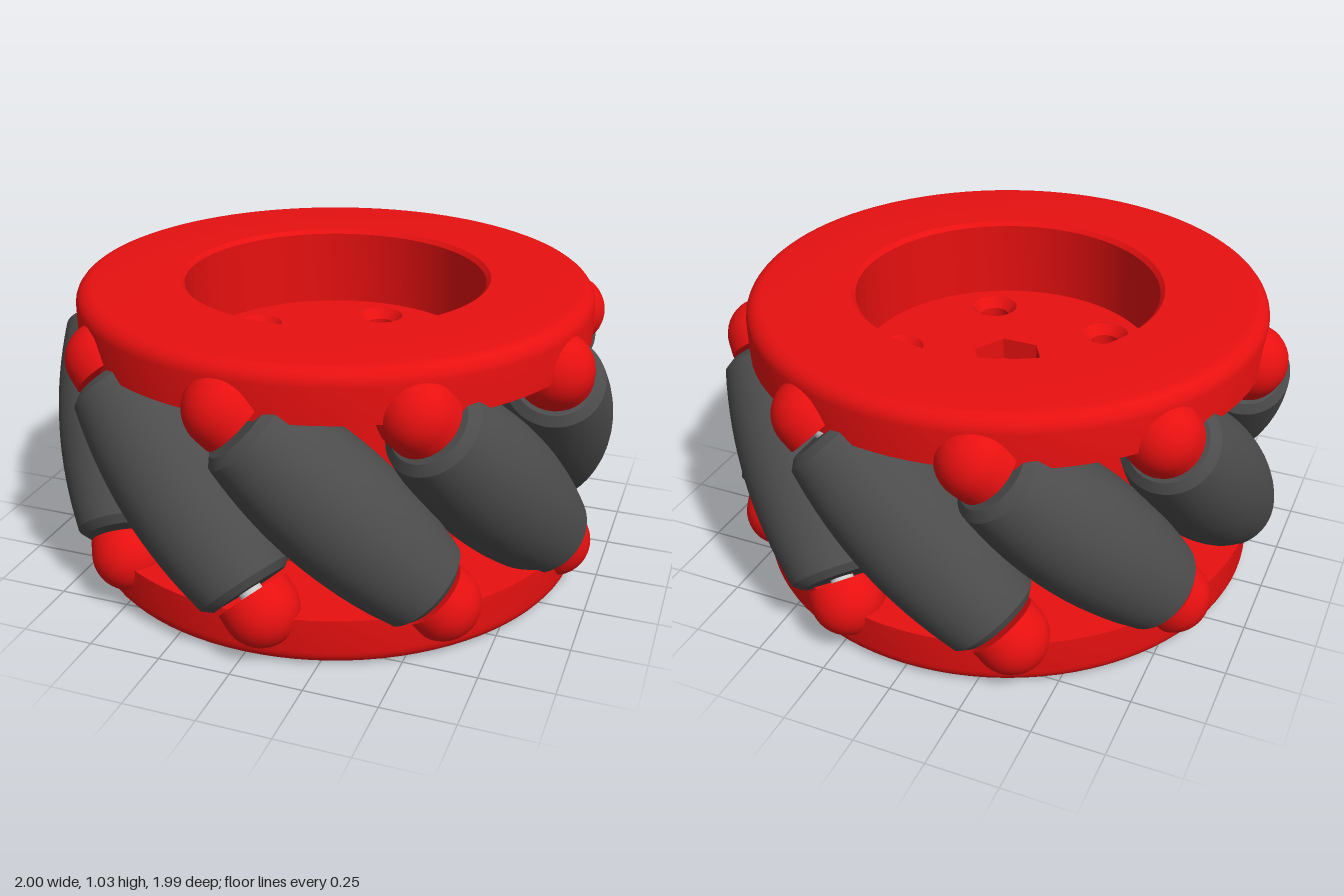
import * as THREE from 'three';
import { toCreasedNormals } from 'three/addons/utils/BufferGeometryUtils.js';

const RED = new THREE.MeshStandardMaterial({ color: 0xe81010 });
const RUBBER = new THREE.MeshStandardMaterial({ color: 0x4c4c4c });
const STEEL = new THREE.MeshStandardMaterial({ color: 0xcccccc });

const H = 1.03, MID = H / 2;          // wheel height and mid plane
const FLOOR = 0.74, POCKET = 0.66;    // upper recess floor, hex pocket floor
const ROLLERS = 9, AXLE_R = 0.785;    // roller count and distance of their axes from the centre

const lathe = (pts, segments = 48) => toCreasedNormals(
  new THREE.LatheGeometry(pts.map(([r, y]) => new THREE.Vector2(r, y)), segments), 0.5);

// Points on a circular arc in the profile plane, angles in degrees
function arc(r, y, radius, from, to, n = 6) {
  return Array.from({ length: n + 1 }, (_, i) => {
    const a = THREE.MathUtils.degToRad(from + (to - from) * i / n);
    return [Math.max(0, r + radius * Math.cos(a)), y + radius * Math.sin(a)];
  });
}

function add(parent, name, geometry, material) {
  const mesh = new THREE.Mesh(geometry, material);
  mesh.name = name;
  parent.add(mesh);
  return mesh;
}

function circlePath(x, y, r) {
  return new THREE.Path().absarc(x, y, r, 0, Math.PI * 2, true);
}

function hexPoints(r) {
  return Array.from({ length: 6 }, (_, i) =>
    new THREE.Vector2(r * Math.cos(i * Math.PI / 3), r * Math.sin(i * Math.PI / 3)));
}

// Both rims, the hub barrel, the lower recess and the bore in one profile
function buildBody(wheel) {
  const f = 0.055;
  add(wheel, 'rimsAndHub', lathe([
    [0.053, POCKET], [0.053, 0.14], [0.078, 0.11], [0.53, 0.11], [0.53, 0.015], [0.545, 0],
    ...arc(0.905 - f, f, f, -90, 0),
    [0.905, 0.175], [0.56, 0.175], [0.56, 0.855], [0.905, 0.855],
    ...arc(0.905 - f, H - f, f, 0, 90),
    [0.545, H], [0.53, H - 0.015], [0.53, FLOOR],
  ], 96), RED);
}

// Upper recess floor with five countersunk holes and a hexagonal pocket
function buildHubFace(wheel) {
  const face = new THREE.Shape().absarc(0, 0, 0.531, 0, Math.PI * 2, false);
  face.holes.push(new THREE.Path(hexPoints(0.13)));
  const hole = lathe([[0.085, 0], [0.052, -0.035], [0.052, -0.09], [0, -0.11]], 32);
  for (let i = 0; i < 5; i++) {
    const a = THREE.MathUtils.degToRad(5.7 + 72 * i);
    const x = 0.4 * Math.sin(a), z = -0.4 * Math.cos(a);
    face.holes.push(circlePath(x, -z, 0.085));
    add(wheel, 'screwHole', hole, RED).position.set(x, FLOOR, z);
  }
  const faceMesh = add(wheel, 'hubFace', new THREE.ShapeGeometry(face, 48), RED);
  faceMesh.rotation.x = -Math.PI / 2;
  faceMesh.position.y = FLOOR;

  const hexFloor = new THREE.Shape(hexPoints(0.13));
  hexFloor.holes.push(circlePath(0, 0, 0.053));
  const floorMesh = add(wheel, 'hexPocketFloor', new THREE.ShapeGeometry(hexFloor, 24), RED);
  floorMesh.rotation.x = -Math.PI / 2;
  floorMesh.position.y = POCKET;

  const wall = new THREE.CylinderGeometry(0.13, 0.13, FLOOR - POCKET, 6, 1, true).toNonIndexed();
  wall.computeVertexNormals();
  const wallMaterial = RED.clone();
  wallMaterial.side = THREE.DoubleSide;
  const wallMesh = add(wheel, 'hexPocketWall', wall, wallMaterial);
  wallMesh.rotation.y = Math.PI / 6 * 3;
  wallMesh.position.y = (FLOOR + POCKET) / 2;
}

// Barrel roller whose outer edge follows the wheel's round envelope
function rollerGeometry() {
  const half = 0.415, chamfer = 0.025, n = 16;
  const radius = s => 1 - Math.sqrt(AXLE_R ** 2 + s * s / 2);
  const end = radius(half);
  const pts = [[0, -half], [end - chamfer, -half]];
  for (let i = 0; i <= n; i++) {
    const s = (half - chamfer) * (2 * i / n - 1);
    pts.push([radius(s), s]);
  }
  pts.push([end - chamfer, half], [0, half]);
  return lathe(pts);
}

function buildRollers(wheel) {
  const roller = rollerGeometry();
  const cap = lathe([[0, 0.435], [0.128, 0.435], ...arc(0, 0.485, 0.128, 0, 90, 10)], 32);
  const pin = new THREE.CylinderGeometry(0.04, 0.04, 0.96, 16);
  for (let i = 0; i < ROLLERS; i++) {
    const spoke = new THREE.Group();
    spoke.name = 'rollerUnit';
    spoke.rotation.y = THREE.MathUtils.degToRad(20 + 360 * i / ROLLERS);
    const tilted = new THREE.Group();
    tilted.name = 'tiltedAxle';
    tilted.position.set(0, MID, AXLE_R);
    tilted.rotation.z = Math.PI / 4;
    add(tilted, 'roller', roller, RUBBER);
    add(tilted, 'axlePin', pin, STEEL);
    add(tilted, 'upperAxleCap', cap, RED);
    add(tilted, 'lowerAxleCap', cap, RED).rotation.z = Math.PI;
    spoke.add(tilted);
    wheel.add(spoke);
  }
}

export function createModel() {
  const wheel = new THREE.Group();
  wheel.name = 'rollerWheel';
  buildBody(wheel);
  buildHubFace(wheel);
  buildRollers(wheel);
  return wheel;
}
